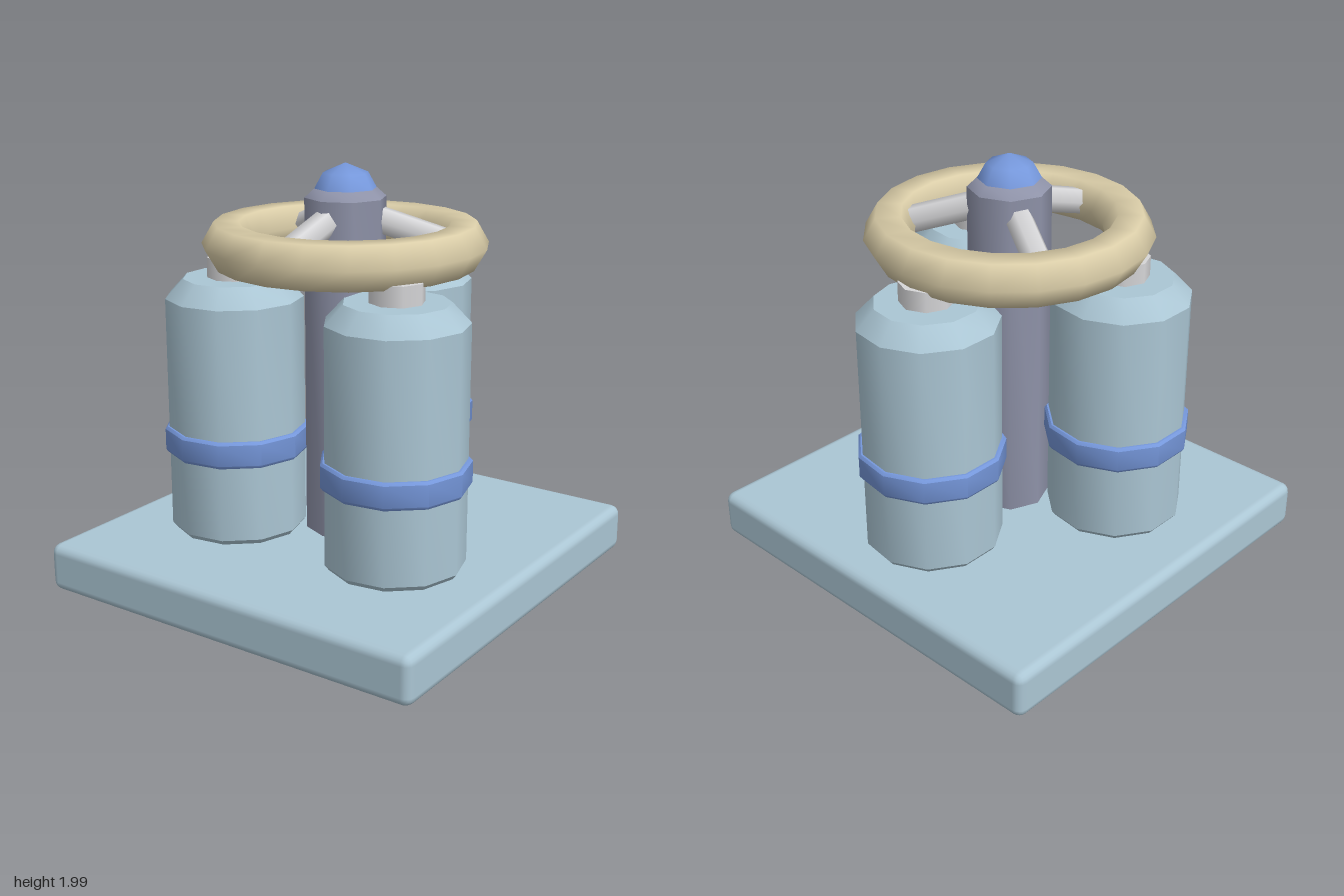
import * as THREE from 'three';
import { toCreasedNormals } from 'three/addons/utils/BufferGeometryUtils.js';
import { RoundedBoxGeometry } from 'three/addons/geometries/RoundedBoxGeometry.js';

const material = (name, color) => Object.assign(new THREE.MeshStandardMaterial({ color }), { name });

const paleBlue = material('pale blue paint', 0xabc6d4);
const blue = material('blue trim', 0x7698dc);
const slate = material('slate column', 0x8e92a8);
const steel = material('light steel', 0xd6d6d8);
const cream = material('cream wheel', 0xdacda8);

function part(parent, name, geometry, mat) {
  const mesh = new THREE.Mesh(geometry, mat);
  mesh.name = name;
  parent.add(mesh);
  return mesh;
}

// Turned shape with a vertex on +x, smooth around and sharp at the rims
function turned(profile, sides, crease) {
  const points = profile.map(([r, y]) => new THREE.Vector2(r, y));
  return toCreasedNormals(new THREE.LatheGeometry(points, sides, Math.PI / 2), crease);
}

export function createModel() {
  const model = new THREE.Group();
  model.name = 'tankStand';

  // Base slab
  part(model, 'base', new RoundedBoxGeometry(2, 0.23, 2, 2, 0.045), paleBlue).position.y = 0.115;

  // Central column and domed cap
  part(model, 'column', turned(
    [[0, 0.22], [0.19, 0.22], [0.19, 1.83], [0.145, 1.87], [0, 1.87]], 8, 0.79), slate);
  part(model, 'columnCap', turned(
    [[0.147, 1.865], [0.105, 1.941], [0, 1.985]], 8, 1.2), blue);

  // Three tanks around the column
  const tankBody = turned(
    [[0, 0.23], [0.305, 0.23], [0.325, 0.255], [0.325, 1.36], [0.24, 1.45], [0, 1.45]], 11, 0.65);
  const tankBand = turned(
    [[0.32, 0.615], [0.334, 0.615], [0.345, 0.63], [0.345, 0.73], [0.334, 0.742], [0.32, 0.742]], 11, 0.65);
  const tankNeck = new THREE.CylinderGeometry(0.125, 0.125, 0.1, 8);
  // Wheel spoke: hexagonal bar, flat side up, lying along +z
  const spokeBar = new THREE.CylinderGeometry(0.065, 0.065, 0.44, 6, 1, false, Math.PI / 2);
  spokeBar.rotateX(Math.PI / 2 + Math.atan(0.33));
  spokeBar.translate(0, 1.685, 0.29);

  for (let i = 0; i < 3; i++) {
    const angle = Math.PI + (i * Math.PI * 2) / 3;
    const tank = new THREE.Group();
    tank.name = 'tank' + (i + 1);
    tank.position.set(0.52 * Math.sin(angle), 0, 0.52 * Math.cos(angle));
    part(tank, 'tankBody', tankBody, paleBlue);
    part(tank, 'tankBand', tankBand, blue);
    part(tank, 'tankNeck', tankNeck, steel).position.y = 1.494;
    model.add(tank);

    part(model, 'wheelSpoke' + (i + 1), spokeBar, steel).rotation.y = (i * Math.PI * 2) / 3;
  }

  // Wheel rim
  const rim = new THREE.TorusGeometry(0.545, 0.115, 6, 20).rotateX(-Math.PI / 2);
  part(model, 'wheelRim', rim, cream).position.y = 1.62;

  return model;
}
